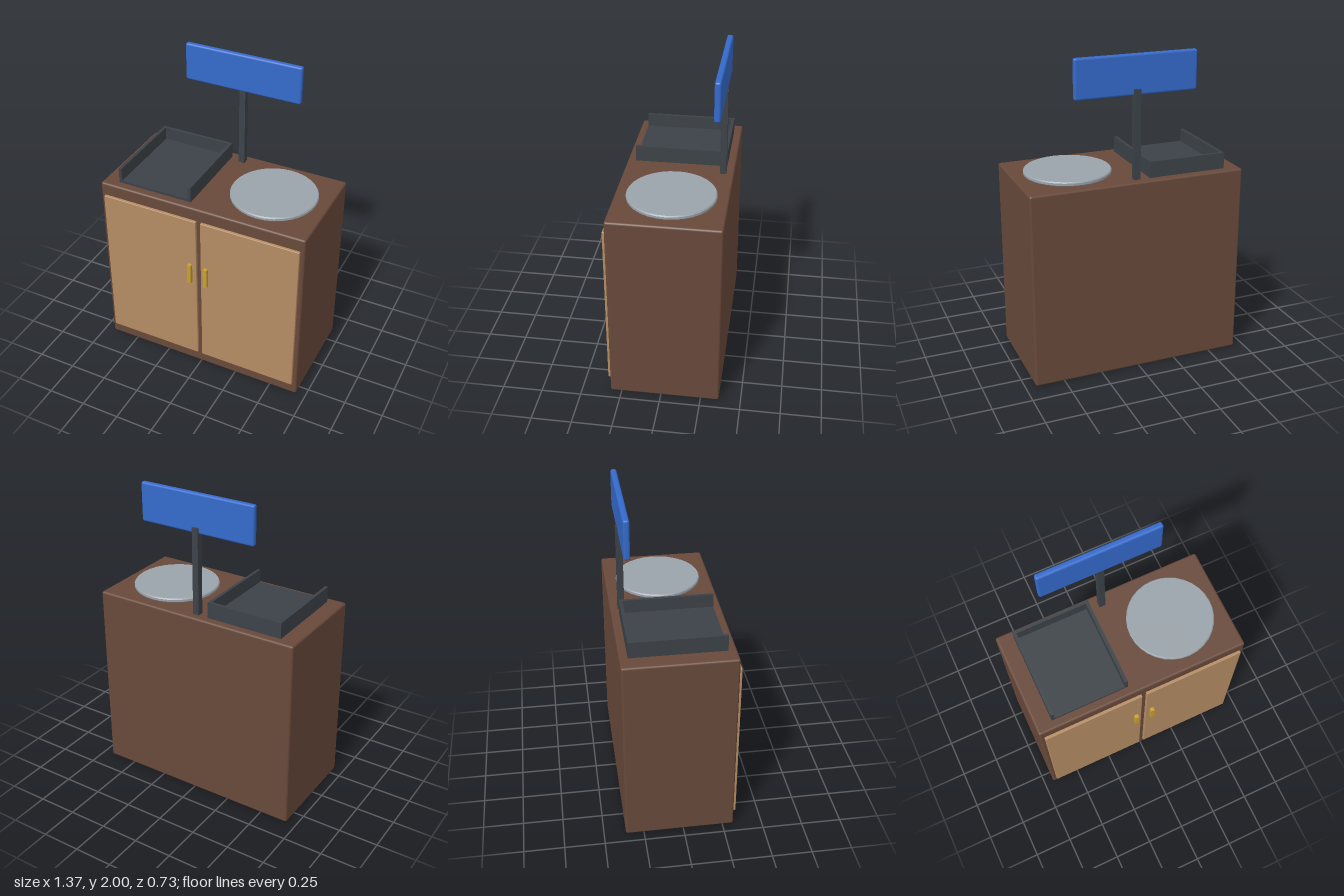
import * as THREE from 'three';
import { RoundedBoxGeometry } from 'three/addons/geometries/RoundedBoxGeometry.js';

const mat = (name, color) => {
  const m = new THREE.MeshStandardMaterial({ color });
  m.name = name;
  return m;
};

export function createModel() {
  const walnut = mat('dark brown wood', 0x68493a);
  const oak = mat('light brown wood', 0xb48c64);
  const brass = mat('brass', 0xc9a02f);
  const charcoal = mat('charcoal', 0x3c4248);
  const steel = mat('pale steel', 0x9aa3aa);
  const blue = mat('blue', 0x346acb);

  const root = new THREE.Group();
  root.name = 'shopCounter';

  // Box given by its extents; a radius rounds the edges
  const box = (parent, name, material, [x0, x1], [y0, y1], [z0, z1], radius = 0) => {
    const size = [x1 - x0, y1 - y0, z1 - z0];
    const geometry = radius
      ? new RoundedBoxGeometry(...size, 3, radius)
      : new THREE.BoxGeometry(...size);
    const mesh = new THREE.Mesh(geometry, material);
    mesh.name = name;
    mesh.position.set((x0 + x1) / 2, (y0 + y1) / 2, (z0 + z1) / 2);
    parent.add(mesh);
    return mesh;
  };

  // Cabinet body
  const top = 1.243;
  box(root, 'cabinet', walnut, [-0.687, 0.687], [0, top], [-0.364, 0.32], 0.014);

  // Mirrored doors and handles
  for (const [side, s] of [['left', 1], ['right', -1]]) {
    const span = (a, b) => (s > 0 ? [a, b] : [-b, -a]);
    box(root, side + 'Door', oak, span(0.015, 0.66), [0.085, 1.16], [0.31, 0.338], 0.005);
    box(root, side + 'Handle', brass, span(0.043, 0.068), [0.692, 0.83], [0.335, 0.362]);
  }

  // Tray, open at the front
  const tray = new THREE.Group();
  tray.name = 'tray';
  root.add(tray);
  const trayZ = [-0.314, 0.267];
  box(tray, 'trayBase', charcoal, [-0.582, -0.082], [top, 1.26], trayZ);
  box(tray, 'trayRightWall', charcoal, [-0.582, -0.562], [top, 1.344], trayZ);
  box(tray, 'trayLeftWall', charcoal, [-0.102, -0.082], [top, 1.344], trayZ);
  box(tray, 'trayBackWall', charcoal, [-0.562, -0.102], [top, 1.344], [-0.314, -0.294]);

  // Round weighing plate with bevelled rim; doubled points keep the faces flat
  const R = 0.272;
  const profile = [
    [0, 0], [R - 0.006, 0], [R - 0.006, 0], [R, 0.006], [R, 0.006],
    [R, 0.02], [R, 0.02], [R - 0.006, 0.027], [R - 0.006, 0.027], [0, 0.027],
  ].map(([x, y]) => new THREE.Vector2(x, y));
  const plate = new THREE.Mesh(new THREE.LatheGeometry(profile, 32), steel);
  plate.name = 'weighingPlate';
  plate.position.set(0.342, top, -0.023);
  root.add(plate);

  // Post carrying the display panel
  box(root, 'post', charcoal, [-0.02, 0.02], [top - 0.01, 1.795], [-0.316, -0.276]);
  box(root, 'displayPanel', blue, [-0.385, 0.385], [1.757, 2], [-0.304, -0.266], 0.013);

  return root;
}
